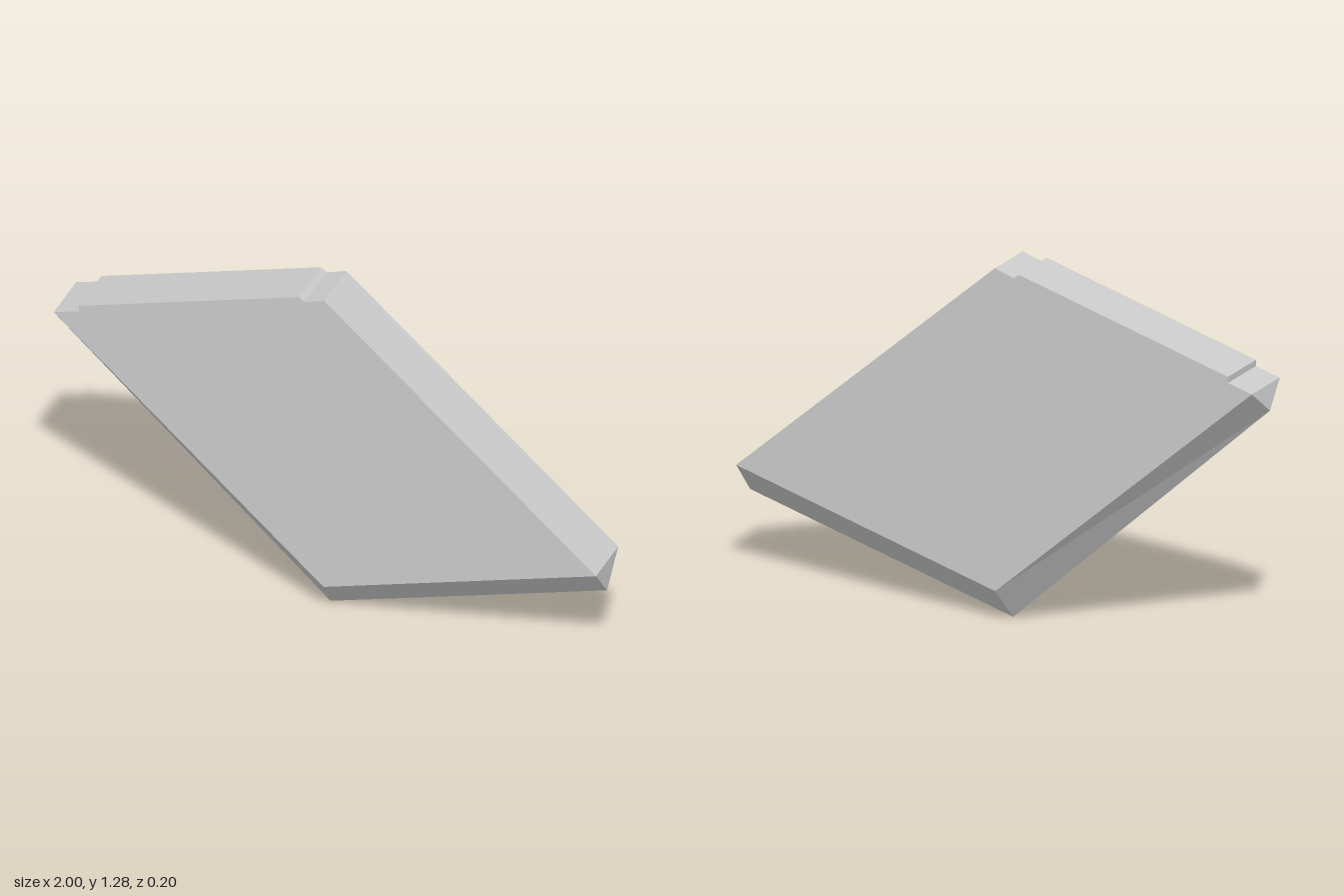
import * as THREE from 'three';

const HALF = 0.1; // half the thickness

// Lower corners of the slab, and the ridge line below them in the middle plane
const lower = [[-0.984, 0.988], [0.003, 0.12], [1, 0.409]];
const ridge = [[-1, 0.902], [-0.012, 0], [1, 0.292]];
// Upper edge from right to left, with the shallow steps at both ends
const upper = [[1, 0.409], [0.005, 1.278], [-0.067, 1.254], [-0.087, 1.27],
  [-0.892, 1.036], [-0.892, 1.014], [-0.984, 0.988]];

function flatMesh(name, positions, material) {
  const geometry = new THREE.BufferGeometry();
  geometry.setAttribute('position', new THREE.Float32BufferAttribute(positions, 3));
  geometry.computeVertexNormals();
  const mesh = new THREE.Mesh(geometry, material);
  mesh.name = name;
  return mesh;
}

export function createModel() {
  const group = new THREE.Group();
  group.name = 'bevelledSlab';
  const material = new THREE.MeshStandardMaterial({ color: 0xcccccc, flatShading: true });
  const at = (p, z) => [p[0], p[1], z];
  const tri = (a, b, c) => [...a, ...b, ...c];
  const quad = (a, b, c, d) => [...tri(a, b, c), ...tri(a, c, d)];

  // Large front and back faces
  const outline = [...lower, ...upper.slice(1, -1)];
  const points = outline.map((p) => new THREE.Vector2(...p));
  const front = [], back = [];
  for (const [a, b, c] of THREE.ShapeUtils.triangulateShape(points, [])) {
    front.push(...tri(at(outline[a], HALF), at(outline[b], HALF), at(outline[c], HALF)));
    back.push(...tri(at(outline[c], -HALF), at(outline[b], -HALF), at(outline[a], -HALF)));
  }
  group.add(flatMesh('frontFace', front, material), flatMesh('backFace', back, material));

  // Stepped upper edge
  const edge = [];
  for (let i = 0; i < upper.length - 1; i++) {
    const p = upper[i], q = upper[i + 1];
    edge.push(...quad(at(p, HALF), at(p, -HALF), at(q, -HALF), at(q, HALF)));
  }
  group.add(flatMesh('upperEdge', edge, material));

  // V-shaped bevels meeting at the ridge along both lower sides
  const bevel = [];
  for (let i = 0; i < 2; i++) {
    const p = lower[i], q = lower[i + 1];
    const rp = at(ridge[i], 0), rq = at(ridge[i + 1], 0);
    bevel.push(...quad(at(p, HALF), rp, rq, at(q, HALF)));
    bevel.push(...quad(at(q, -HALF), rq, rp, at(p, -HALF)));
  }
  group.add(flatMesh('lowerBevel', bevel, material));

  // Triangles closing the two ends of the bevel
  group.add(flatMesh('bevelEnds', [
    ...tri(at(lower[0], -HALF), at(ridge[0], 0), at(lower[0], HALF)),
    ...tri(at(lower[2], HALF), at(ridge[2], 0), at(lower[2], -HALF)),
  ], material));

  return group;
}
